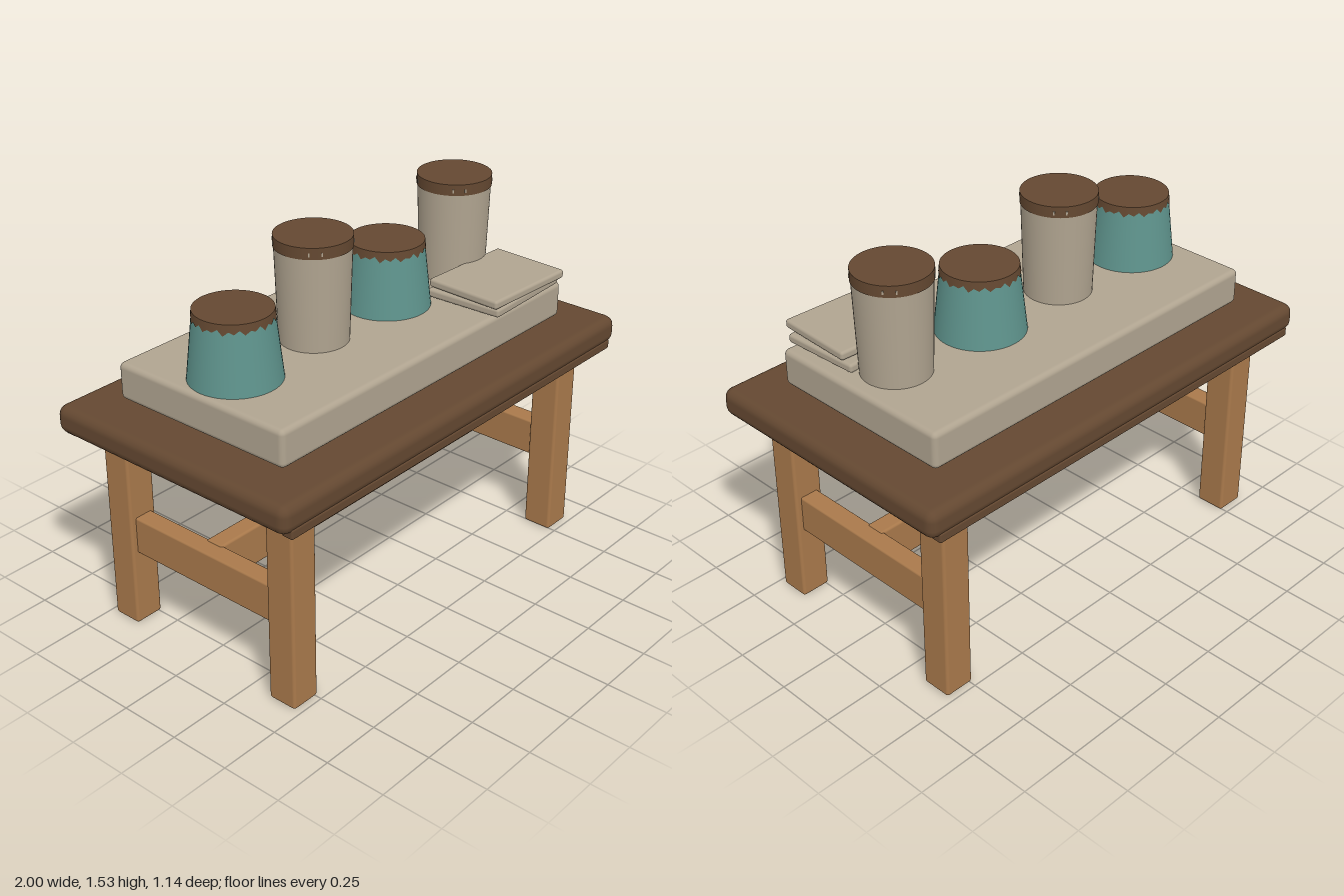
import * as THREE from 'three';
import { RoundedBoxGeometry } from 'three/addons/geometries/RoundedBoxGeometry.js';

const paint = (name, color, side = THREE.FrontSide) => {
  const m = new THREE.MeshStandardMaterial({ color, side });
  m.name = name;
  return m;
};

export function createModel() {
  const darkWood = paint('dark wood', 0x644831, THREE.DoubleSide);
  const lightWood = paint('light wood', 0xa9794b);
  const linen = paint('linen', 0xb0a490);
  const teal = paint('teal glaze', 0x5f948d);

  const model = new THREE.Group();
  model.name = 'tableWithCups';

  const add = (parent, name, geometry, material, x = 0, y = 0, z = 0) => {
    const mesh = new THREE.Mesh(geometry, material);
    mesh.name = name;
    mesh.position.set(x, y, z);
    parent.add(mesh);
    return mesh;
  };
  const block = (name, w, h, d, r, material, x, y, z) =>
    add(model, name, new RoundedBoxGeometry(w, h, d, 2, r), material, x, y, z);

  // Table top with a strip under its front and back edges
  block('tableTop', 2, 0.115, 1.14, 0.04, darkWood, 0, 0.8875, 0);
  for (const s of [1, -1])
    block('edgeStrip', 1.92, 0.04, 0.05, 0.008, darkWood, 0, 0.831, s * 0.543);

  // Legs, side rails and the long stretcher
  for (const sx of [1, -1]) {
    for (const sz of [1, -1])
      block('leg', 0.125, 0.84, 0.125, 0.012, lightWood, sx * 0.8025, 0.42, sz * 0.4125);
    block('sideRail', 0.08, 0.155, 0.72, 0.008, lightWood, sx * 0.8, 0.3925, 0);
  }
  block('stretcher', 1.55, 0.165, 0.08, 0.01, lightWood, 0, 0.3925, 0);

  // Padded slab, resting just above the table
  block('slab', 1.65, 0.15, 0.81, 0.022, linen, 0, 1.032, 0);

  // Two folded cloths
  block('lowerCloth', 0.43, 0.036, 0.335, 0.012, linen, 0.565, 1.132, 0.257).rotation.y = 0.04;
  block('upperCloth', 0.43, 0.036, 0.335, 0.012, linen, 0.56, 1.172, 0.276).rotation.y = -0.04;

  // Wide teal cup whose brown lid drips over the rim
  const drips = [0, 0.022, 0.006, 0.016, 0.002, 0.02, 0.008, 0.013, 0];
  const wideCup = (x) => {
    const cup = new THREE.Group();
    cup.name = 'wideCup';
    cup.position.set(x, 1.107, 0);
    const h = 0.253;
    const radiusAt = (y) => 0.176 - (y / h) * 0.028;
    add(cup, 'cupBody', new THREE.CylinderGeometry(radiusAt(h), radiusAt(0), h, 48), teal, 0, h / 2);
    add(cup, 'cupLid', new THREE.CylinderGeometry(0.148, 0.15, 0.018, 48), darkWood, 0, 0.262);
    const skirt = new THREE.CylinderGeometry(1, 1, 1, 48, 1, true);
    const p = skirt.attributes.position;
    for (let i = 0; i < p.count; i++) {
      const y = p.getY(i) > 0 ? 0.262 : 0.25 - drips[i % 8];
      const r = radiusAt(y) + 0.002;
      p.setXYZ(i, p.getX(i) * r, y, p.getZ(i) * r);
    }
    skirt.computeVertexNormals();
    add(cup, 'lidDrips', skirt, darkWood);
    model.add(cup);
  };

  // Tall pale cup with a brown band and pairs of small pegs
  const tallCup = (x) => {
    const cup = new THREE.Group();
    cup.name = 'tallCup';
    cup.position.set(x, 1.107, 0);
    add(cup, 'cupBody', new THREE.CylinderGeometry(0.146, 0.134, 0.38, 48), linen, 0, 0.19);
    add(cup, 'cupBand', new THREE.CylinderGeometry(0.149, 0.149, 0.045, 48), darkWood, 0, 0.3975);
    for (let i = 0; i < 4; i++)
      for (const s of [1, -1]) {
        const a = Math.PI / 4 + i * Math.PI / 2 + s * 0.16;
        add(cup, 'bandPeg', new THREE.BoxGeometry(0.006, 0.014, 0.004), linen,
          Math.sin(a) * 0.149, 0.394, Math.cos(a) * 0.149).rotation.y = a;
      }
    model.add(cup);
  };

  for (const x of [-0.63, 0.21]) {
    wideCup(x);
    tallCup(x + 0.42);
  }
  return model;
}
